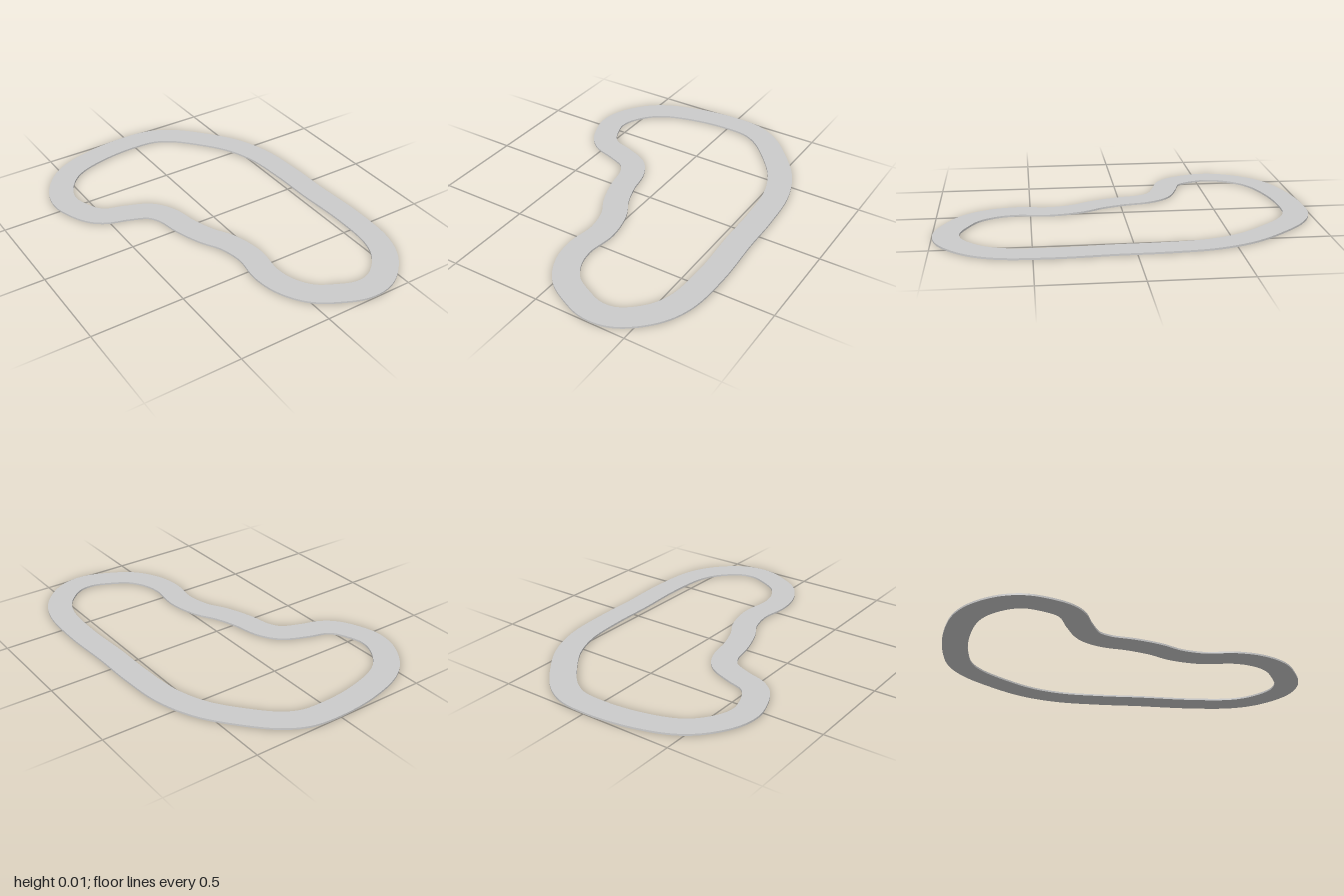
import * as THREE from 'three';

const WIDTH = 0.135;
const THICKNESS = 0.01;
const SEGMENTS = 260;

// centre line of the circuit as [x, z], clockwise seen from above
const CENTRE_LINE = [
  [0, -0.932], [0.145, -0.918], [0.255, -0.86], [0.375, -0.74], [0.5, -0.57],
  [0.57, -0.38], [0.594, -0.13], [0.598, 0.1], [0.612, 0.4], [0.594, 0.65],
  [0.537, 0.783], [0.43, 0.89], [0.35, 0.925], [0.26, 0.926], [0.164, 0.89],
  [0.045, 0.817], [-0.03, 0.7], [-0.055, 0.57], [-0.037, 0.4], [-0.07, 0.245],
  [-0.13, 0.135], [-0.178, 0], [-0.209, -0.14], [-0.265, -0.225],
  [-0.383, -0.28], [-0.49, -0.315], [-0.548, -0.365], [-0.6, -0.475],
  [-0.616, -0.555], [-0.595, -0.655], [-0.513, -0.778], [-0.41, -0.852],
  [-0.2, -0.914],
];

// closed outline at a sideways distance from the centre line
function offsetLine(curve, distance) {
  return Array.from({ length: SEGMENTS }, (_, i) => {
    const p = curve.getPointAt(i / SEGMENTS);
    const t = curve.getTangentAt(i / SEGMENTS);
    return new THREE.Vector2(p.x - t.y * distance, p.y + t.x * distance);
  });
}

export function createModel() {
  const group = new THREE.Group();
  group.name = 'raceTrack';

  const curve = new THREE.CatmullRomCurve3(
    CENTRE_LINE.map(([x, z]) => new THREE.Vector3(x, -z, 0)), true);

  // road: a thin slab between the outer and inner edges; the inner edge runs
  // the opposite way so that its walls face the infield
  const shape = new THREE.Shape(offsetLine(curve, WIDTH / 2));
  shape.holes.push(new THREE.Path(offsetLine(curve, -WIDTH / 2).reverse()));
  const geometry = new THREE.ExtrudeGeometry(shape, { depth: THICKNESS, bevelEnabled: false });
  geometry.rotateX(-Math.PI / 2);

  const road = new THREE.Mesh(geometry, new THREE.MeshStandardMaterial({ color: 0xcccccc }));
  road.name = 'road';
  group.add(road);
  return group;
}
